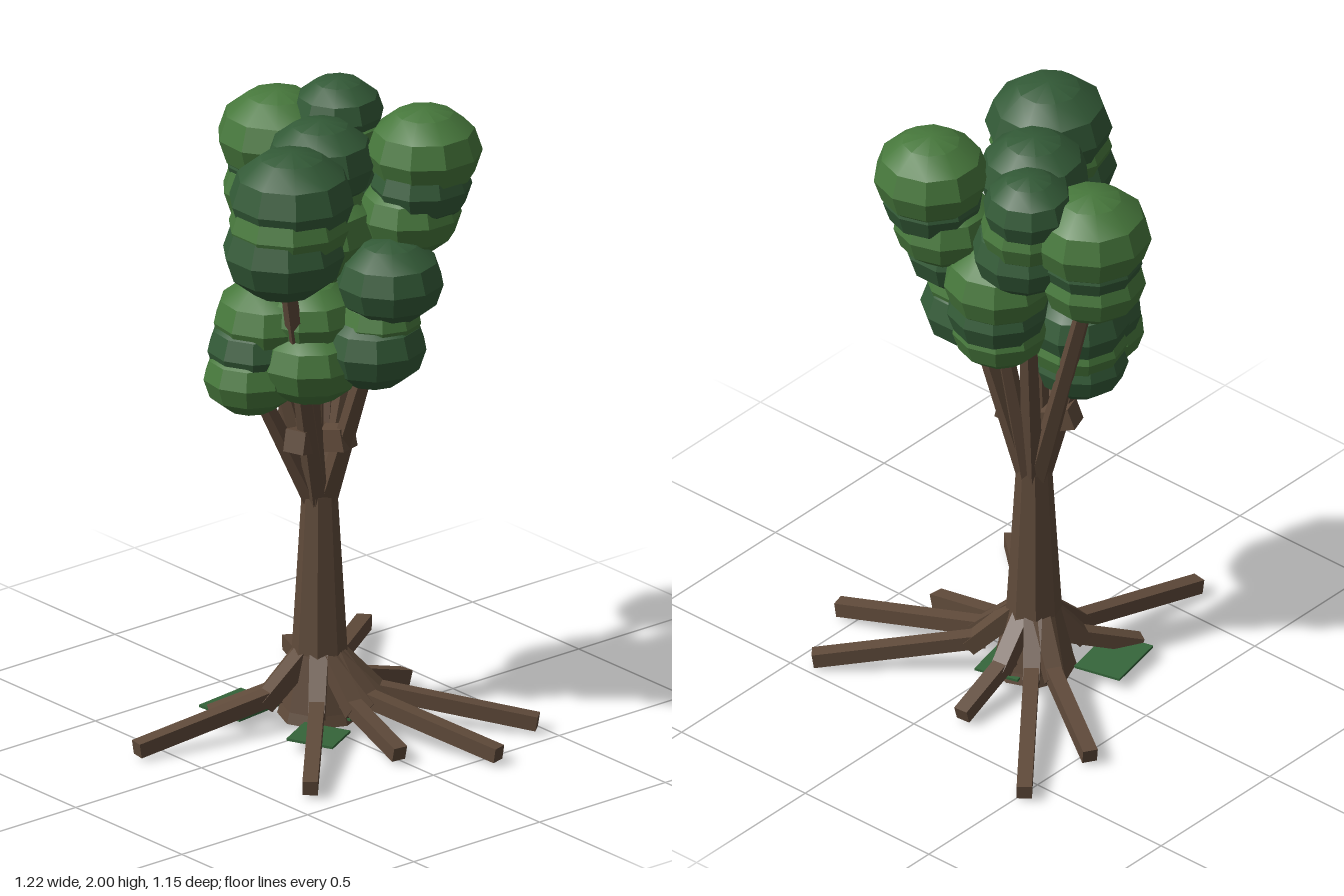
import * as THREE from 'three';
import { toCreasedNormals } from 'three/addons/utils/BufferGeometryUtils.js';

const mat = (name, color, flatShading) => new THREE.MeshStandardMaterial({ name, color, flatShading });

export function createModel() {
  const tree = new THREE.Group();
  tree.name = 'tree';
  const bark = mat('bark brown', 0x5f4a3a, true);
  const light = mat('leaf green', 0x47783c, false);
  const dark = mat('dark leaf green', 0x335a37, false);
  const moss = mat('moss green', 0x35653a, true);
  const cx = 0.035, cz = -0.077;

  const add = (name, geo, material, parent = tree) => {
    const m = new THREE.Mesh(geo, material);
    m.name = name;
    parent.add(m);
    return m;
  };

  // Straight limb from a to b: square section for roots, more sides for branches
  const limb = (name, a, b, r0, r1, sides, parent) => {
    const p = new THREE.Vector3(...a), q = new THREE.Vector3(...b);
    const d = q.clone().sub(p);
    const geo = new THREE.CylinderGeometry(r1, r0, d.length(), sides);
    if (sides === 4) geo.rotateY(Math.PI / 4);
    const m = add(name, geo, bark, parent);
    m.position.copy(p).add(q).multiplyScalar(0.5);
    // Yaw then tilt, so that square limbs stay level
    m.rotation.order = 'YXZ';
    m.rotation.y = Math.atan2(d.x, d.z);
    m.rotation.x = Math.atan2(Math.hypot(d.x, d.z), d.y);
  };

  // Trunk with a spreading foot
  const profile = [[0, 0.015], [0.13, 0.015], [0.12, 0.05], [0.085, 0.23], [0.055, 0.74], [0.045, 0.82], [0, 0.82]];
  const trunk = add('trunk', new THREE.LatheGeometry(profile.map(p => new THREE.Vector2(...p)), 8), bark);
  trunk.position.set(cx, 0, cz);
  const foot = add('trunkFoot', new THREE.CylinderGeometry(0.07, 0.07, 0.03, 8), bark);
  foot.position.set(cx, 0.015, cz);

  // Roots: a steep buttress followed by a long shallow beam
  const roots = new THREE.Group();
  roots.name = 'roots';
  tree.add(roots);
  const rootEnds = [[-0.605, -0.18], [0.595, -0.53], [0.315, -0.55], [0.405, -0.11], [0.47, 0.435],
    [0.21, 0.56], [-0.02, 0.365], [-0.41, 0.405], [-0.25, -0.255]];
  for (const [x, z] of rootEnds) {
    const dx = x - cx, dz = z - cz, len = Math.hypot(dx, dz);
    const at = (d, y) => [cx + dx / len * d, y, cz + dz / len * d];
    const k = Math.min(0.2, len * 0.47);
    limb('buttress', at(0.045, 0.225), at(k, 0.085), 0.04, 0.036, 4, roots);
    limb('root', at(k - 0.05, 0.112), at(len, 0.033), 0.033, 0.033, 4, roots);
  }

  // Leaf clumps: [x, y, z, radius, material], listed from the top down
  const clusters = {
    rearCrown: [[0.135, 1.79, -0.395, 0.187, light], [0.135, 1.7, -0.4, 0.155, dark], [0.125, 1.62, -0.395, 0.163, light]],
    rightRearCrown: [[0.25, 1.88, -0.245, 0.142, dark], [0.24, 1.79, -0.23, 0.145, light], [0.22, 1.69, -0.205, 0.165, dark]],
    leftCrown: [[-0.205, 1.81, 0.075, 0.195, dark], [-0.22, 1.73, 0.08, 0.188, light], [-0.24, 1.65, 0.08, 0.19, dark]],
    rightFrontCrown: [[0.285, 1.855, 0.12, 0.178, light], [0.265, 1.755, 0.13, 0.155, dark], [0.238, 1.66, 0.105, 0.16, light]],
    middleCrown: [[0.04, 1.82, -0.08, 0.172, dark], [0.03, 1.7, -0.09, 0.15, light], [0.02, 1.6, -0.08, 0.2, light]],
    lowerFront: [[0.11, 1.49, 0.165, 0.168, dark], [0.09, 1.36, 0.14, 0.13, light], [0.077, 1.275, 0.125, 0.167, dark]],
    lowerRight: [[0.205, 1.52, -0.085, 0.172, light], [0.2, 1.41, -0.075, 0.158, dark], [0.19, 1.33, -0.075, 0.148, light]],
    lowerLeft: [[-0.125, 1.335, -0.13, 0.17, light], [-0.165, 1.25, -0.135, 0.155, dark], [-0.195, 1.165, -0.13, 0.147, light]],
    lowerRear: [[-0.035, 1.3, -0.195, 0.157, dark], [-0.04, 1.22, -0.19, 0.152, light], [-0.045, 1.15, -0.195, 0.147, dark]],
    lowerInner: [[-0.05, 1.36, -0.02, 0.15, light], [-0.068, 1.225, 0.0, 0.167, light]],
  };
  const turns = [0.25, 0.157, 0.314, 0, 0.157, 0.314, 0, 0.157, 0.314, 0];
  // Squat ball: soft domes above and below, hard facets around the middle
  const clumpGeo = toCreasedNormals(new THREE.SphereGeometry(1, 10, 6).scale(1, 0.8, 1), 0.52);
  const branches = new THREE.Group();
  branches.name = 'branches';
  tree.add(branches);
  Object.entries(clusters).forEach(([name, clumps], i) => {
    const group = new THREE.Group();
    group.name = name;
    tree.add(group);
    for (const [x, y, z, r, material] of clumps) {
      const m = add('leafClump', clumpGeo, material, group);
      m.position.set(x, y, z);
      m.scale.setScalar(r);
      m.rotation.y = turns[i];
    }
    // Branch from the trunk top up into the lowest clump
    const [x, y, z] = clumps[clumps.length - 1];
    const a = Math.atan2(z - cz, x - cx);
    limb('branch', [cx + Math.cos(a) * 0.02, 0.72, cz + Math.sin(a) * 0.02], [x, y, z], 0.035, 0.024, 5, branches);
  });

  // Short broken stubs where the branches part
  for (const [x, y, z] of [[-0.105, 0.955, -0.03], [0.06, 0.945, 0.03], [-0.01, 0.97, -0.205]]) {
    limb('stub', [cx, 0.92, cz], [x, y, z], 0.05, 0.05, 4, branches);
  }

  // Flat mossy cards between the roots: [x, z, width, depth, turn]
  const shards = [[-0.135, -0.25, 0.2, 0.16, 0.18], [-0.115, 0.095, 0.15, 0.15, 0.5], [0.1, -0.03, 0.15, 0.15, 0.2]];
  for (const [x, z, w, d, turn] of shards) {
    const m = add('mossCard', new THREE.BoxGeometry(w, 0.008, d), moss);
    m.position.set(x, 0.035, z);
    m.rotation.set(0.05, turn, -0.04);
  }
  return tree;
}
